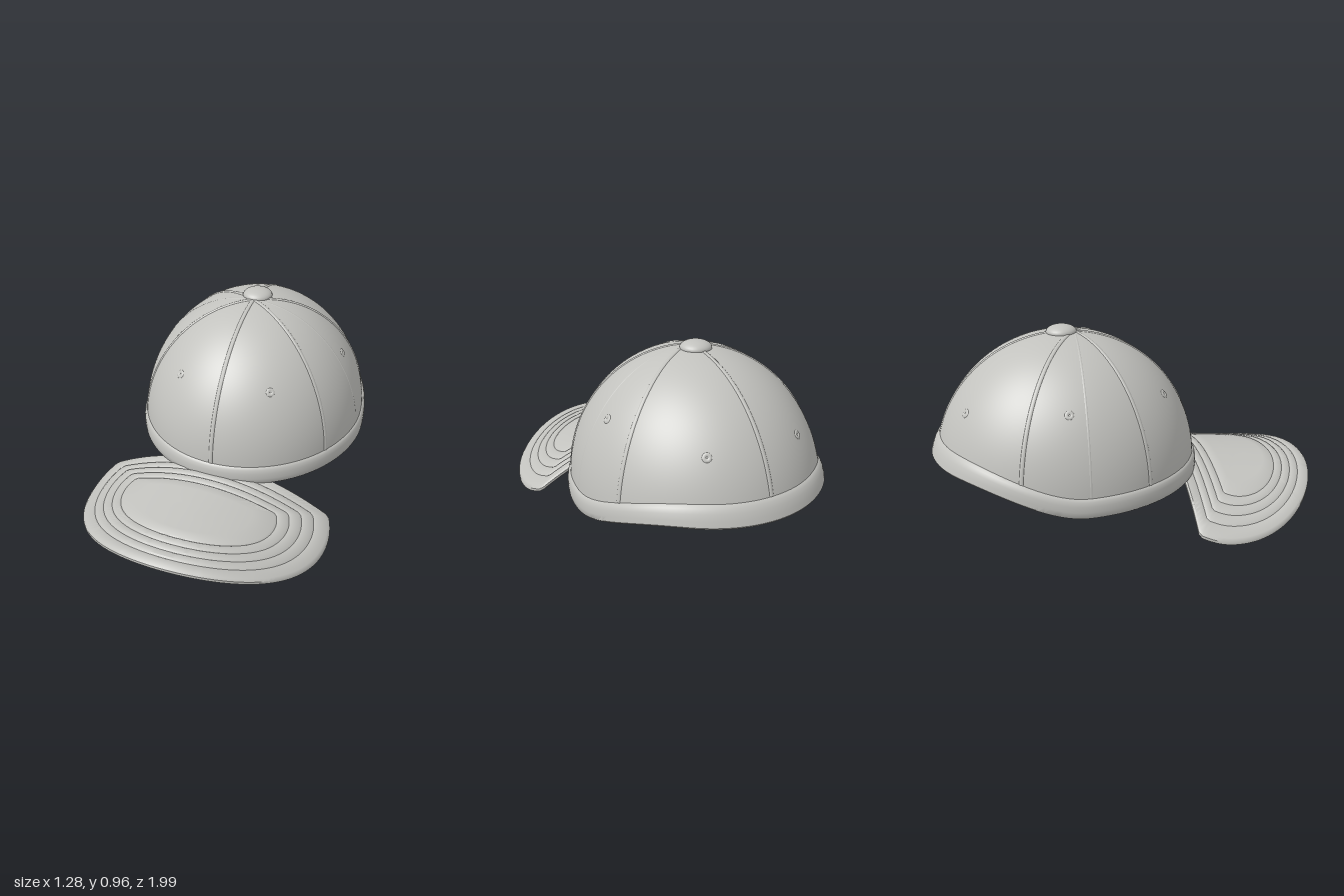
import * as THREE from 'three';
import { toCreasedNormals } from 'three/addons/utils/BufferGeometryUtils.js';

const V = (x, y, z) => new THREE.Vector3(x, y, z);
const POLE_Z = -0.25;                                   // where the panels meet
const CROWN = { rx: 0.6, ry: 0.678, rz: 0.665, cy: 0.25, cz: -0.305 };
const RIM = { rx: 0.615, rz: 0.687, cz: -0.311 };
const WALL = 0.02, SEGMENTS = 144;

// Skin of closed loops, each loop a row of points
function skin(rows) {
  const n = rows[0].length, index = [];
  for (let i = 0; i < rows.length - 1; i++) {
    for (let j = 0; j < n; j++) {
      const a = i * n + j, b = i * n + (j + 1) % n;
      index.push(a, a + n, b, b, a + n, b + n);
    }
  }
  const g = new THREE.BufferGeometry().setFromPoints(rows.flat());
  g.setIndex(index);
  return toCreasedNormals(g, 0.7);
}

// Distance from the pole to an ellipse in direction a (0 = front, 90 degrees = left)
function reach(a, { rx, rz, cz }) {
  const s = Math.sin(a), c = Math.cos(a), d = POLE_Z - cz;
  const A = (s / rx) ** 2 + (c / rz) ** 2, B = c * d / rz ** 2, C = (d / rz) ** 2 - 1;
  return (-B + Math.sqrt(B * B - A * C)) / A;
}

// Lower edge of the cap: level in front, rising at the back
const edgeHeight = z => 0.198 + 0.137 * THREE.MathUtils.smoothstep(-z, 0.25, 0.87);

function crownHeight(x, z) {
  const { rx, ry, rz, cy, cz } = CROWN;
  return cy + ry * Math.sqrt(Math.max(0, 1 - (x / rx) ** 2 - ((z - cz) / rz) ** 2));
}

function crownNormal(p) {
  const { rx, ry, rz, cy, cz } = CROWN;
  return V(p.x / rx ** 2, (p.y - cy) / ry ** 2, (p.z - cz) / rz ** 2).normalize();
}

function crownPoint(a, s, inset = 0) {
  const r = reach(a, CROWN) * Math.sin(s);
  const x = r * Math.sin(a), z = POLE_Z + r * Math.cos(a);
  const p = V(x, crownHeight(x, z), z);
  return p.addScaledVector(crownNormal(p), -inset);
}

// Angle down from the pole at which the crown meets the band
function crownEnd(a) {
  let lo = 0.3, hi = Math.PI / 2;
  for (let i = 0; i < 30; i++) {
    const mid = (lo + hi) / 2, p = crownPoint(a, mid);
    if (p.y > edgeHeight(p.z) + 0.097) lo = mid; else hi = mid;
  }
  return lo;
}

export function createModel() {
  const cap = new THREE.Group();
  cap.name = 'cap';
  const cloth = new THREE.MeshStandardMaterial({ color: 0xc2c2be });
  cloth.name = 'light grey cloth';
  const add = (name, geometry, parent = cap) => {
    const m = new THREE.Mesh(geometry, cloth);
    m.name = name;
    parent.add(m);
    return m;
  };
  const group = name => {
    const g = new THREE.Group();
    g.name = name;
    cap.add(g);
    return g;
  };

  // Crown: outer and inner dome
  const angles = Array.from({ length: SEGMENTS }, (_, j) => j / SEGMENTS * Math.PI * 2);
  const ends = angles.map(crownEnd);
  const dome = inset => Array.from({ length: 41 }, (_, i) =>
    angles.map((a, j) => crownPoint(a, ends[j] * i / 40, inset)));
  add('crownOutside', skin(dome(0)));
  add('crownInside', skin(dome(WALL).reverse()));

  // Band: profile of [share of the way down, outward offset] swept round the edge
  const bandProfile = [[0, -0.004], [0.04, 0.003], [0.14, 0.008], [0.35, 0.01], [0.65, 0.006], [0.92, 0],
    [1, -0.008], [1, -0.028], [0.92, -0.036], [0.6, -0.034], [0.2, -0.03], [0, -0.018]];
  add('band', skin(bandProfile.map(([f, o]) => angles.map((a, j) => {
    const top = crownPoint(a, ends[j]), r = reach(a, RIM);
    const low = V(r * Math.sin(a), 0, POLE_Z + r * Math.cos(a));
    low.y = edgeHeight(low.z);
    const out = V(low.x / RIM.rx ** 2, 0, (low.z - RIM.cz) / RIM.rz ** 2).normalize();
    return top.lerp(low, f).addScaledVector(out, o);
  }))));

  // Seams: tubes inside the wall that stand slightly proud on both sides
  const seams = group('seams');
  const seam = (name, a, radius) => {
    const end = crownEnd(a);
    const path = Array.from({ length: 17 }, (_, i) => crownPoint(a, end * i / 16, WALL / 2));
    add(name, new THREE.TubeGeometry(new THREE.CatmullRomCurve3(path), 48, radius, 10), seams);
  };
  for (let i = 0; i < 6; i++) seam('panelSeam', i * Math.PI / 3, 0.0145);
  for (const side of [1, -1]) seam('sideSeam', side * Math.PI / 2, 0.0115);

  // Eyelets, one in each panel
  const eyelets = group('eyelets');
  for (const [ex, ez] of [[0.24, 0.16], [0.475, -0.33], [0.24, -0.8]]) {
    for (const side of [1, -1]) {
      const p = V(side * ex, crownHeight(ex, ez), ez), n = crownNormal(p);
      const ring = add('eyelet', new THREE.TorusGeometry(0.013, 0.0135, 10, 20), eyelets);
      ring.position.copy(p).addScaledVector(n, -WALL / 2);
      ring.quaternion.setFromUnitVectors(V(0, 0, 1), n);
    }
  }

  // Button on top
  const button = add('button', new THREE.SphereGeometry(1, 32, 20));
  button.scale.set(0.077, 0.036, 0.077);
  button.position.set(0, 0.925, -0.315);

  // Brim: D-shaped outline, drawn as x and z
  const outline = new THREE.Shape();
  outline.moveTo(0, 0.265);
  outline.lineTo(0.585, 0.265);
  outline.quadraticCurveTo(0.605, 0.265, 0.611, 0.285);
  outline.quadraticCurveTo(0.64, 0.35, 0.64, 0.42);
  outline.absellipse(0, 0.42, 0.64, 0.577, 0, Math.PI, false);
  outline.quadraticCurveTo(-0.64, 0.35, -0.611, 0.285);
  outline.quadraticCurveTo(-0.605, 0.265, -0.585, 0.265);
  outline.lineTo(0, 0.265);
  const rim = outline.getSpacedPoints(140).slice(0, -1).reverse();

  // Loops from the middle out: [width scale, depth scale, sunk depth]
  const loops = [0, 0.25, 0.5, 0.75].map(k => [0.61 * k, 0.48 * k, 0]);
  const inset = (s, sunk) => loops.push([1 - 0.37 * s, 1 - 0.5 * s, sunk]);
  for (const s of [1, 0.77, 0.54, 0.31]) {              // four rows of stitching
    inset(s + 0.045, 0);
    inset(s, 0.006);
    inset(s - 0.045, 0);
  }
  inset(0.05, 0);
  inset(0, 0.008);
  const mid = 0.628, thickness = 0.03;
  const brimLoop = ([kx, kz, sunk], under) => rim.map(p => {
    const x = p.x * kx, z = mid + (p.y - mid) * kz;
    const top = 0.24 - 0.08 * (z - 0.3) - 0.2 * (x / 0.64) ** 2;
    return V(x, under ? top - thickness + sunk : top - sunk, z);
  });
  add('brim', skin([
    ...loops.map(l => brimLoop(l, false)),
    ...loops.slice().reverse().map(l => brimLoop(l, true)),
  ]));

  return cap;
}
